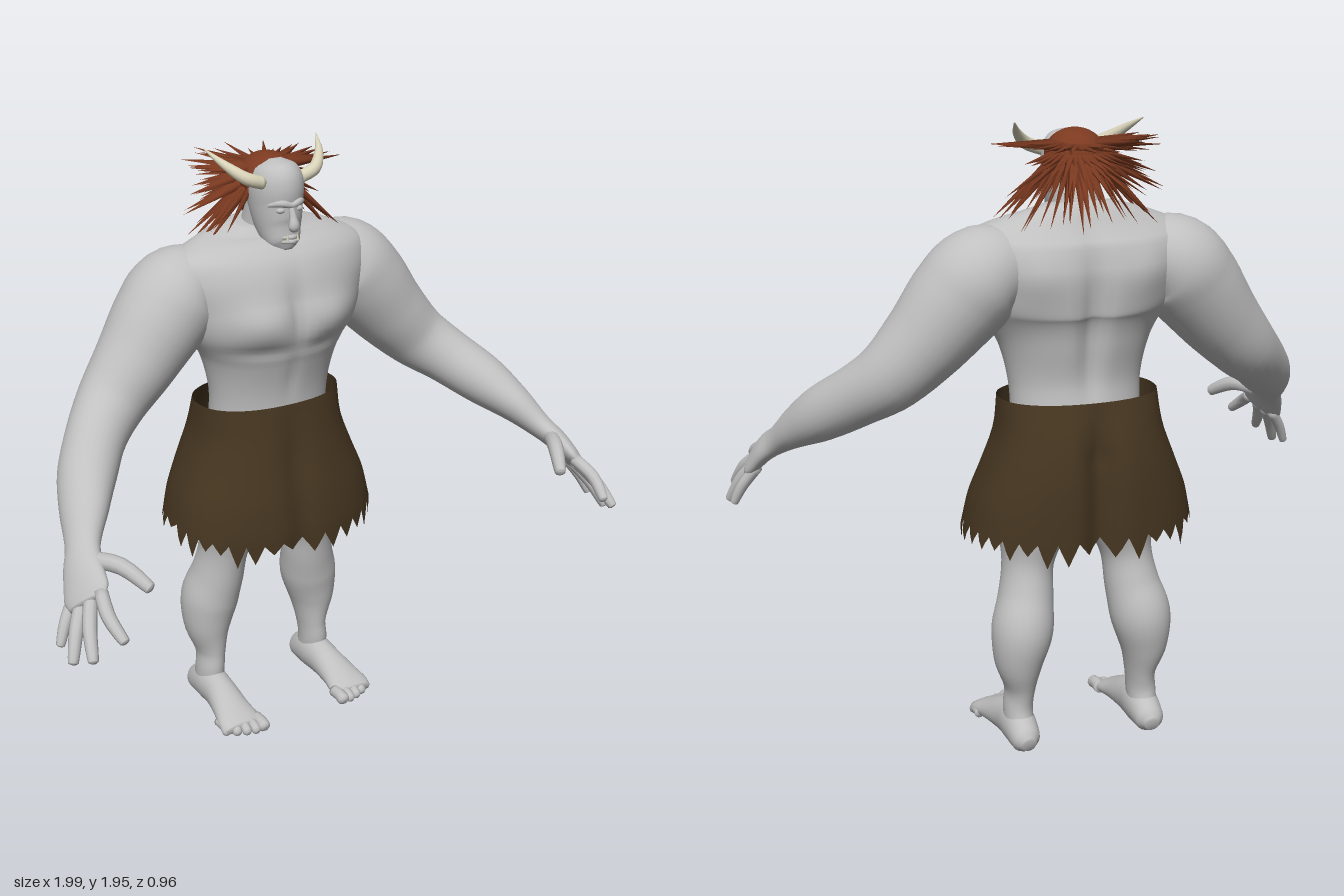
import * as THREE from 'three';
import { mergeGeometries } from 'three/addons/utils/BufferGeometryUtils.js';

const V = (x, y, z) => new THREE.Vector3(x, y, z);
const mat = (name, color, side = THREE.FrontSide) => {
  const m = new THREE.MeshStandardMaterial({ color, side });
  m.name = name;
  return m;
};
const bump = (v, centre, width) => Math.exp(-(((v - centre) / width) ** 2));

// Smooth closed loft through sections [x, y, z, radius along ref, radius across]
function loft(sections, { ref = V(1, 0, 0), radial = 20, per = 5, deform } = {}) {
  const path = new THREE.CatmullRomCurve3(sections.map(s => V(s[0], s[1], s[2])));
  const size = new THREE.CatmullRomCurve3(sections.map(s => V(s[3], s[4] ?? s[3], 0)), false, 'catmullrom', 0.5);
  const rings = (sections.length - 1) * per, pos = [], index = [];
  for (let i = 0; i <= rings; i++) {
    const t = i / rings, p = path.getPoint(t), r = size.getPoint(t), T = path.getTangent(t);
    const U = ref.clone().addScaledVector(T, -ref.dot(T)).normalize();
    const W = T.clone().cross(U);
    for (let j = 0; j < radial; j++) {
      const a = (j / radial) * Math.PI * 2;
      const q = p.clone().addScaledVector(U, Math.cos(a) * r.x).addScaledVector(W, Math.sin(a) * r.y);
      if (deform) deform(q);
      pos.push(q.x, q.y, q.z);
      const k = (j + 1) % radial, b = i * radial;
      if (i < rings) index.push(b + j, b + k, b + radial + j, b + k, b + radial + k, b + radial + j);
    }
  }
  const first = path.getPoint(0), last = path.getPoint(1), c = pos.length / 3, e = rings * radial;
  pos.push(first.x, first.y, first.z, last.x, last.y, last.z);
  for (let j = 0; j < radial; j++) {
    const k = (j + 1) % radial;
    index.push(c, k, j, c + 1, e + j, e + k);
  }
  const g = new THREE.BufferGeometry();
  g.setAttribute('position', new THREE.Float32BufferAttribute(pos, 3));
  g.setIndex(index);
  g.computeVertexNormals();
  return g;
}

// Rounded finger or toe from a root over a bend to a tip
const digit = (a, b, c, r) => {
  const end = c.map((v, i) => v + (c[i] - b[i]) * 0.06);
  return loft([[...a, r], [...b, r], [...c, r * 0.72], [...end, r * 0.3]], { ref: V(-0.455, 0.33, 0.826), radial: 10, per: 4 });
};

// Flared hide kilt with a torn hem, open at both ends
function kiltGeometry(rand) {
  const teeth = 34, step = 4, n = teeth * step, rows = 16, pos = [], index = [];
  const depth = Array.from({ length: teeth }, () => 0.025 + rand() * 0.055);
  // half width, front z and back z from waist to hem
  const shape = new THREE.CatmullRomCurve3([V(0.25, -0.06, -0.385), V(0.262, -0.035, -0.43), V(0.30, -0.01, -0.455), V(0.342, 0.015, -0.465), V(0.365, 0.03, -0.47)]);
  for (let i = 0; i <= rows; i++) for (let j = 0; j < n; j++) {
    const a = (j / n) * Math.PI * 2, s = Math.sin(a), c = Math.cos(a);
    const f = (j % step) / step, tooth = depth[Math.floor(j / step)] * (1 - Math.abs(2 * f - 1));
    const hem = 0.755 - 0.06 * Math.max(c, 0) - 0.025 * Math.max(-c, 0) - tooth;
    const y = 1.14 + (hem - 1.14) * (i / rows);
    const p = shape.getPoint(Math.min(1, (1.14 - y) / 0.42));
    const x = p.x * Math.sign(s) * Math.abs(s) ** 0.9;
    let z = (p.y + p.z) / 2 + ((p.y - p.z) / 2) * Math.sign(c) * Math.abs(c) ** 0.85;
    const flare = Math.min(1, i / 6);
    z -= Math.sign(c) * (c > 0 ? 0.02 : 0.045) * flare * bump(x, 0, 0.05);
    pos.push(x, y, z);
    const k = (j + 1) % n, b = i * n;
    if (i < rows) index.push(b + j, b + n + j, b + k, b + k, b + n + j, b + n + k);
  }
  const g = new THREE.BufferGeometry();
  g.setAttribute('position', new THREE.Float32BufferAttribute(pos, 3));
  g.setIndex(index);
  g.computeVertexNormals();
  return g;
}

// Fan of tapered locks around the back of the head
function hairFan({ y, rise, length, n, spread }, rand) {
  const locks = [];
  for (let i = 0; i < n; i++) {
    const a = spread * (2 * i / (n - 1) - 1) + (rand() - 0.5) * 0.08;
    const e = rise + (rand() - 0.5) * 0.2, len = length * (0.75 + rand() * 0.4);
    const dir = V(Math.sin(a) * Math.cos(e), Math.sin(e), -Math.cos(a) * Math.cos(e));
    const g = new THREE.ConeGeometry(0.018, len, 5);
    g.scale(1, 1, 0.55).translate(0, len / 2 - 0.02, 0);
    g.applyQuaternion(new THREE.Quaternion().setFromUnitVectors(V(0, 1, 0), dir));
    g.translate(0.078 * Math.sin(a), y, -0.195 - 0.085 * Math.cos(a));
    locks.push(g);
  }
  return mergeGeometries(locks);
}

export function createModel() {
  const model = new THREE.Group();
  model.name = 'hornedBrute';
  let seed = 7;
  const rand = () => (seed = (seed * 16807) % 2147483647) / 2147483647;
  const skin = mat('grey skin', 0xc0c0c0), hide = mat('brown hide', 0x453520, THREE.DoubleSide);
  const hairMat = mat('red brown hair', 0x7c3a20), ivory = mat('ivory horn', 0xd8d2b8);
  const add = (parent, name, geometry, material = skin) => {
    const m = new THREE.Mesh(geometry, material);
    m.name = name;
    parent.add(m);
    return m;
  };

  // Torso with chest, breastbone and spine modelling
  add(model, 'torso', loft([
    [0, 0.86, -0.21, 0.10, 0.09], [0, 0.95, -0.21, 0.20, 0.15], [0, 1.06, -0.21, 0.205, 0.145], [0, 1.18, -0.20, 0.21, 0.14],
    [0, 1.30, -0.195, 0.24, 0.165], [0, 1.40, -0.19, 0.30, 0.195], [0, 1.48, -0.20, 0.335, 0.195],
    [0, 1.56, -0.21, 0.36, 0.185], [0, 1.63, -0.22, 0.345, 0.155], [0, 1.685, -0.225, 0.23, 0.10], [0, 1.72, -0.22, 0.10, 0.07],
  ], {
    radial: 72, per: 7,
    deform: q => {
      const ax = Math.abs(q.x);
      if (q.z > -0.18) {
        q.z += 0.022 * bump(ax, 0.13, 0.09) * bump(q.y, 1.44, 0.07);
        q.z -= 0.02 * bump(q.x, 0, 0.03) * bump(q.y, 1.47, 0.11);
        q.z -= 0.012 * bump(q.y, 1.345, 0.025) * bump(ax, 0.12, 0.12);
        q.z -= 0.008 * bump(q.x, 0, 0.02) * bump(q.y, 1.24, 0.08);
      } else if (q.z < -0.24) {
        q.z += 0.035 * bump(q.x, 0, 0.035) * bump(q.y, 1.38, 0.22);
        q.z -= 0.014 * bump(ax, 0.17, 0.08) * bump(q.y, 1.53, 0.09);
      }
    },
  }));
  add(model, 'neck', loft([[0, 1.60, -0.23, 0.10], [0, 1.69, -0.215, 0.08], [0, 1.77, -0.19, 0.07], [0, 1.82, -0.18, 0.06]]));

  // Head and face
  const head = new THREE.Group();
  head.name = 'head';
  model.add(head);
  add(head, 'skull', loft([
    [0, 1.642, -0.085, 0.022, 0.02], [0, 1.665, -0.10, 0.052, 0.052], [0, 1.715, -0.13, 0.069, 0.083], [0, 1.78, -0.148, 0.08, 0.098],
    [0, 1.85, -0.155, 0.084, 0.107], [0, 1.895, -0.165, 0.066, 0.085], [0, 1.917, -0.17, 0.025, 0.035],
  ], { radial: 32 }));
  add(head, 'nose', loft([[0, 1.80, -0.056, 0.008], [0, 1.76, -0.044, 0.012], [0, 1.732, -0.038, 0.018, 0.015], [0, 1.72, -0.045, 0.012]], { radial: 12 }));
  const sideways = { ref: V(0, 1, 0), radial: 8 };
  add(head, 'brow', loft([[-0.062, 1.795, -0.088, 0.006], [-0.03, 1.803, -0.058, 0.012], [0, 1.796, -0.05, 0.009], [0.03, 1.803, -0.058, 0.012], [0.062, 1.795, -0.088, 0.006]], sideways));
  for (const y of [1.697, 1.683]) {
    add(head, 'lip', loft([[-0.028, y - 0.003, -0.063, 0.004], [0, y, -0.046, 0.008], [0.028, y - 0.003, -0.063, 0.004]], sideways));
  }
  for (const s of [-1, 1]) {
    add(head, 'eyelid', new THREE.SphereGeometry(0.013, 12, 8).scale(1.2, 0.7, 0.8), skin).position.set(s * 0.031, 1.78, -0.064);
    add(head, 'tusk', new THREE.ConeGeometry(0.005, 0.025, 8), ivory).position.set(s * 0.018, 1.698, -0.046);
  }

  // Hair cap and layered locks
  const hair = new THREE.Group();
  hair.name = 'hair';
  model.add(hair);
  add(hair, 'hairCap', new THREE.SphereGeometry(1, 32, 20).scale(0.091, 0.08, 0.10), hairMat).position.set(0, 1.853, -0.198);
  [
    { y: 1.885, rise: 0.06, length: 0.19, n: 27, spread: 1.65 },
    { y: 1.86, rise: -0.25, length: 0.18, n: 21, spread: 1.2 },
    { y: 1.84, rise: -0.5, length: 0.2, n: 23, spread: 1.35 },
    { y: 1.825, rise: -0.82, length: 0.23, n: 27, spread: 1.75 },
  ].forEach(layer => add(hair, 'hairLocks', hairFan(layer, rand), hairMat));

  // Limbs and horns, built on the left and mirrored
  for (const s of [1, -1]) {
    const side = new THREE.Group();
    side.name = s > 0 ? 'leftSide' : 'rightSide';
    side.scale.x = s;
    model.add(side);
    add(side, 'horn', loft([[0.065, 1.86, -0.11, 0.02], [0.12, 1.88, -0.115, 0.02], [0.165, 1.915, -0.16, 0.014], [0.20, 1.957, -0.235, 0.002]], { ref: V(0, 0, 1), radial: 14 }), ivory);

    add(side, 'arm', loft([
      [0.19, 1.56, -0.235, 0.10, 0.10], [0.30, 1.525, -0.235, 0.15, 0.145], [0.37, 1.455, -0.225, 0.15, 0.15],
      [0.47, 1.335, -0.21, 0.13, 0.13], [0.57, 1.23, -0.185, 0.108, 0.11], [0.655, 1.16, -0.12, 0.095, 0.095],
      [0.74, 1.085, -0.015, 0.092, 0.085], [0.80, 1.02, 0.085, 0.078, 0.062], [0.845, 0.96, 0.165, 0.058, 0.042],
      [0.875, 0.92, 0.225, 0.068, 0.035], [0.895, 0.875, 0.285, 0.08, 0.028], [0.905, 0.855, 0.315, 0.065, 0.018],
    ], { ref: V(-0.455, 0.33, 0.826), radial: 28 }));
    [
      [[0.87, 0.89, 0.33], [0.885, 0.85, 0.41], [0.872, 0.802, 0.48]],
      [[0.888, 0.873, 0.30], [0.93, 0.81, 0.375], [0.952, 0.742, 0.438]],
      [[0.90, 0.86, 0.27], [0.95, 0.785, 0.325], [0.982, 0.71, 0.365]],
      [[0.91, 0.85, 0.235], [0.955, 0.785, 0.262], [0.982, 0.725, 0.28]],
    ].forEach((p, i) => add(side, 'finger', digit(...p, i === 3 ? 0.018 : 0.021)));
    add(side, 'thumb', digit([0.855, 0.94, 0.21], [0.795, 0.945, 0.315], [0.748, 0.9, 0.40], 0.025));

    add(side, 'leg', loft([
      [0.21, 0.05, -0.285, 0.045, 0.06], [0.21, 0.13, -0.262, 0.046, 0.062], [0.205, 0.2, -0.265, 0.048, 0.066],
      [0.21, 0.3, -0.275, 0.078, 0.088], [0.198, 0.4, -0.275, 0.096, 0.104], [0.178, 0.5, -0.25, 0.086, 0.096],
      [0.165, 0.6, -0.23, 0.08, 0.095], [0.15, 0.7, -0.22, 0.104, 0.12], [0.13, 0.85, -0.215, 0.122, 0.14],
      [0.12, 1.0, -0.215, 0.11, 0.13], [0.10, 1.1, -0.21, 0.06, 0.08],
    ], { radial: 28 }));
    add(side, 'foot', loft([
      [0.208, 0.042, -0.37, 0.022, 0.022], [0.21, 0.05, -0.345, 0.045, 0.046], [0.21, 0.07, -0.27, 0.054, 0.068], [0.212, 0.066, -0.19, 0.054, 0.062],
      [0.218, 0.048, -0.1, 0.064, 0.044], [0.221, 0.034, -0.04, 0.074, 0.03], [0.221, 0.026, -0.005, 0.066, 0.018],
    ], { radial: 24, deform: q => { q.y = Math.max(q.y, 0.004); } }));
    for (let i = 0; i < 5; i++) {
      const x = 0.16 + i * 0.03, r = i ? 0.016 : 0.021, tip = 0.035 - i * i * 0.0028;
      add(side, 'toe', loft([[x, 0.03, tip - 0.07, r], [x, 0.03, tip - 0.03, r], [x, r + 0.003, tip - 0.008, r], [x, r, tip, r * 0.5]], { radial: 10 }));
    }
  }

  add(model, 'kilt', kiltGeometry(rand), hide);
  return model;
}
